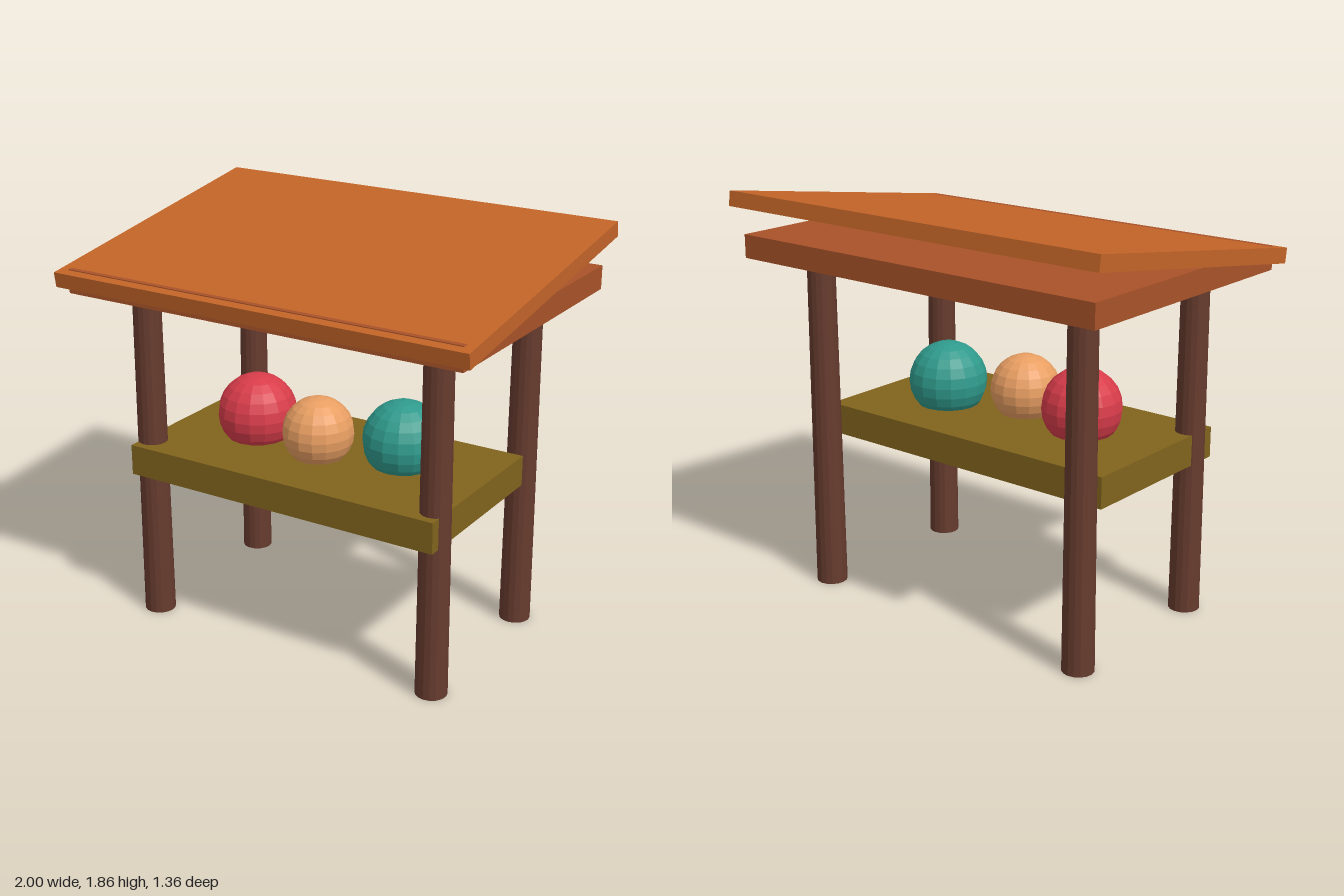
import * as THREE from 'three';

const material = (color) => new THREE.MeshStandardMaterial({ color, flatShading: true });

export function createModel() {
  const stall = new THREE.Group();
  stall.name = 'marketStall';

  const add = (name, geometry, mat, x, y, z) => {
    const mesh = new THREE.Mesh(geometry, mat);
    mesh.name = name;
    mesh.position.set(x, y, z);
    stall.add(mesh);
    return mesh;
  };

  // Four slightly tapered round posts
  const postGeometry = new THREE.CylinderGeometry(0.063, 0.071, 1.55, 16);
  const postMaterial = material(0x663b2e);
  for (const [side, x] of [['Left', 0.727], ['Right', -0.727]]) {
    for (const [end, z] of [['front', 0.4], ['back', -0.4]]) {
      add(`${end}${side}Post`, postGeometry, postMaterial, x, 0.775, z);
    }
  }

  // Counter, set forward between the posts
  add('counter', new THREE.BoxGeometry(1.54, 0.14, 0.82), material(0x80631c), 0, 0.775, 0.092);

  // Flat ceiling slab just above the posts
  add('ceilingSlab', new THREE.BoxGeometry(1.91, 0.106, 1.274), material(0xa85228), 0, 1.612, 0);

  // Roof board sloping down to the front
  const roof = add('roof', new THREE.BoxGeometry(2, 0.068, 1.364), material(0xc36428), 0, 1.723, 0);
  roof.rotation.x = 0.15;

  // Balls on display
  const balls = [
    ['redBall', 0xd83c4a, 0.18, -0.364, 0.09],
    ['orangeBall', 0xe89e62, 0.16, 0, 0.15],
    ['tealBall', 0x2f9a8c, 0.18, 0.364, 0.035],
  ];
  for (const [name, color, radius, x, z] of balls) {
    add(name, new THREE.SphereGeometry(radius, 16, 12), material(color), x, 0.957, z);
  }

  return stall;
}
